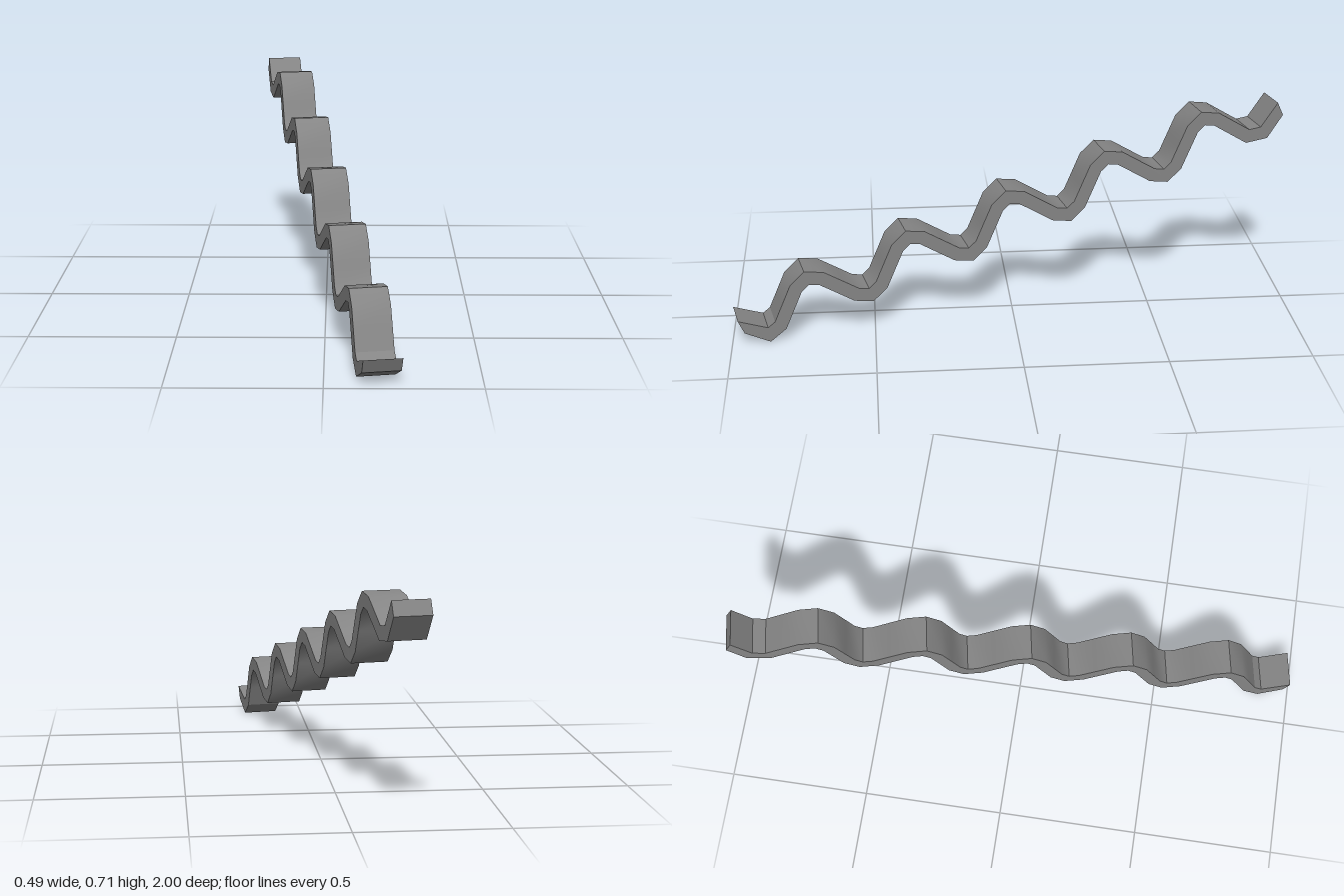
import * as THREE from 'three';
import { toCreasedNormals } from 'three/addons/utils/BufferGeometryUtils.js';

const HALF_THICKNESS = 0.024;
const WIDTH = 0.127;
const YAW = 0.185;

// Centre line in (length, height): a sine wave, eight segments per wave,
// about an axis climbing to the back, with a straight run at each end
function centreLine() {
  const slope = THREE.MathUtils.degToRad(17.3);
  const c = Math.cos(slope), s = Math.sin(slope);
  const wavelength = 0.381, amplitude = 0.077;
  const points = [new THREE.Vector2(0.995, 0.066), new THREE.Vector2(0.898, 0.026)];
  for (let i = -17; i <= 21; i++) {
    const along = i / 8 * wavelength;
    const off = amplitude * Math.sin(i * Math.PI / 4);
    points.push(new THREE.Vector2(0.1 - along * c + off * s, 0.35 + along * s + off * c));
  }
  points.push(new THREE.Vector2(-0.934, 0.604), new THREE.Vector2(-0.994, 0.689));
  return points;
}

// Closed outline of even thickness around the centre line, with mitred bends
function stripOutline(points) {
  const top = [], bottom = [];
  const normal = (a, b) => new THREE.Vector2(b.y - a.y, a.x - b.x).normalize();
  points.forEach((p, i) => {
    const offset = new THREE.Vector2(0.011, 0.024); // slanted end cut
    if (i > 0 && i < points.length - 1) {
      const before = normal(points[i - 1], p);
      offset.copy(before).add(normal(p, points[i + 1])).normalize();
      offset.multiplyScalar(HALF_THICKNESS / offset.dot(before));
    }
    top.push(p.clone().add(offset));
    bottom.push(p.clone().sub(offset));
  });
  return new THREE.Shape([...top, ...bottom.reverse()]);
}

export function createModel() {
  const group = new THREE.Group();
  group.name = 'wavyStrip';

  // Outline swept across the width, then turned to run front to back
  const geometry = new THREE.ExtrudeGeometry(stripOutline(centreLine()), {
    depth: WIDTH, bevelEnabled: false, steps: 1,
  });
  geometry.translate(0, 0, -WIDTH / 2);
  geometry.rotateY(-Math.PI / 2 + YAW);

  // Creased along the crests and troughs, smooth between them
  const strip = new THREE.Mesh(
    toCreasedNormals(geometry, 0.45),
    new THREE.MeshStandardMaterial({ color: 0x858585 }),
  );
  strip.name = 'corrugatedStrip';
  group.add(strip);

  // Stand on the ground, centred
  const box = new THREE.Box3().setFromObject(group);
  const centre = box.getCenter(new THREE.Vector3());
  strip.position.set(-centre.x, -box.min.y, -centre.z);
  return group;
}
